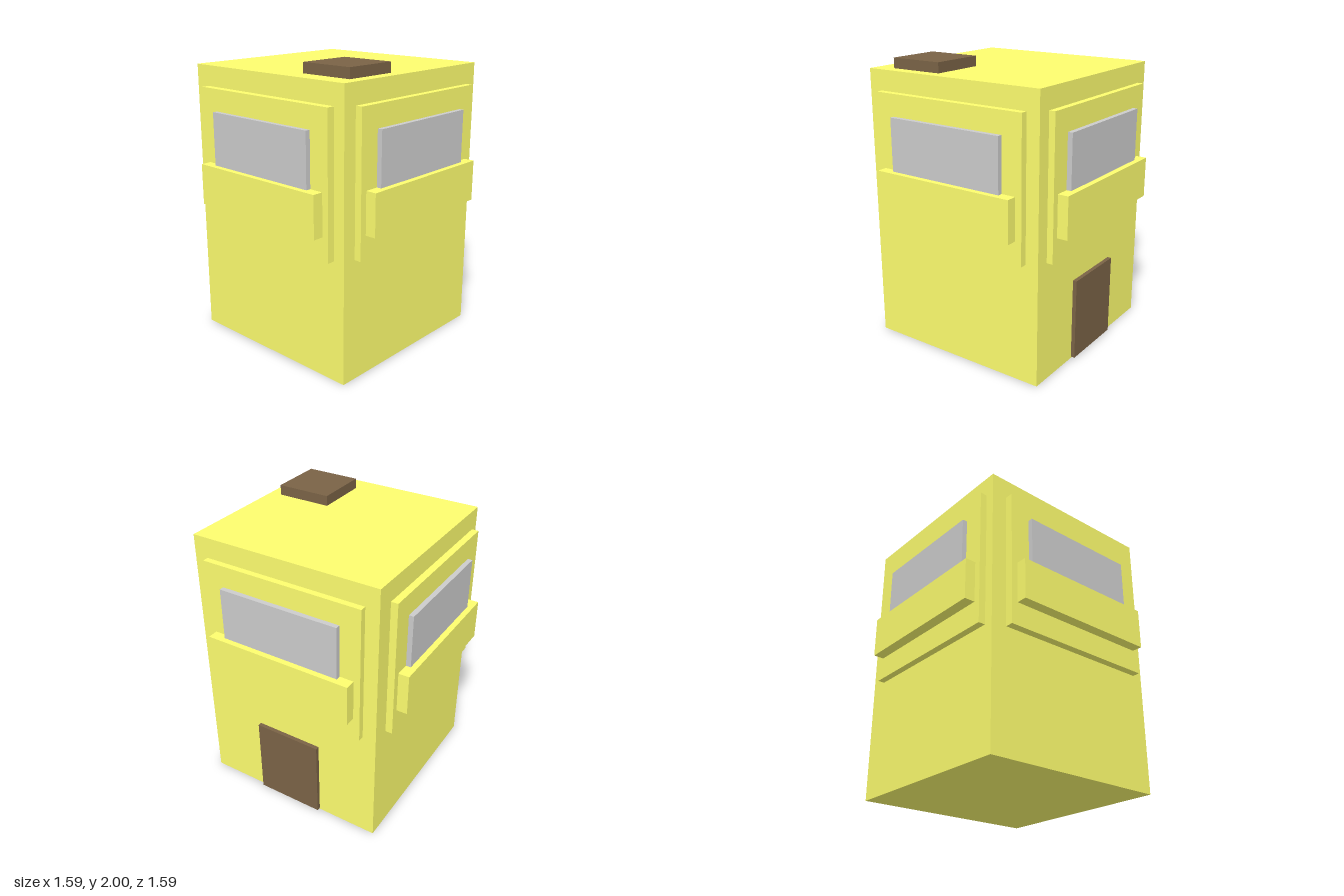
import * as THREE from 'three';

const yellow = new THREE.MeshStandardMaterial({ color: 0xfdfd6e });
const brown = new THREE.MeshStandardMaterial({ color: 0x7a6346 });
const grey = new THREE.MeshStandardMaterial({ color: 0xcccccc });

// Box given by its extents on each axis
function block(name, material, [x0, x1], [y0, y1], [z0, z1]) {
  const mesh = new THREE.Mesh(new THREE.BoxGeometry(x1 - x0, y1 - y0, z1 - z0), material);
  mesh.name = name;
  mesh.position.set((x0 + x1) / 2, (y0 + y1) / 2, (z0 + z1) / 2);
  return mesh;
}

// Raised panel with a window and a balcony, built facing +z
function windowBay(name, angle, shift, outset) {
  const bay = new THREE.Group();
  bay.name = name;
  const wall = 0.66;
  bay.add(
    block('windowPanel', yellow, [-0.578, 0.578], [0.83, 1.79], [wall, 0.72 + outset]),
    block('windowPane', grey, [-0.433, 0.433], [1.1, 1.64], [wall, 0.754 + outset]),
    block('balcony', yellow, [-0.532, 0.532], [0.99, 1.275], [wall, 0.794 + outset]),
  );
  bay.children.forEach((part) => { part.position.x += shift; });
  bay.rotation.y = angle;
  return bay;
}

export function createModel() {
  const tower = new THREE.Group();
  tower.name = 'tower';

  // Main body
  tower.add(block('body', yellow, [-0.67, 0.677], [0, 1.93], [-0.677, 0.672]));

  // One bay per side, each slightly off centre
  tower.add(
    windowBay('frontBay', 0, 0.007, 0),
    windowBay('leftBay', Math.PI / 2, 0.003, 0),
    windowBay('backBay', Math.PI, 0.027, 0.005),
    windowBay('rightBay', -Math.PI / 2, 0.014, 0.005),
  );

  // Door on the +x side and chimney on the roof
  tower.add(block('door', brown, [0.66, 0.705], [0.01, 0.585], [-0.24, 0.243]));
  tower.add(block('chimney', brown, [-0.53, -0.146], [1.9, 2], [0.203, 0.588]));
  return tower;
}
